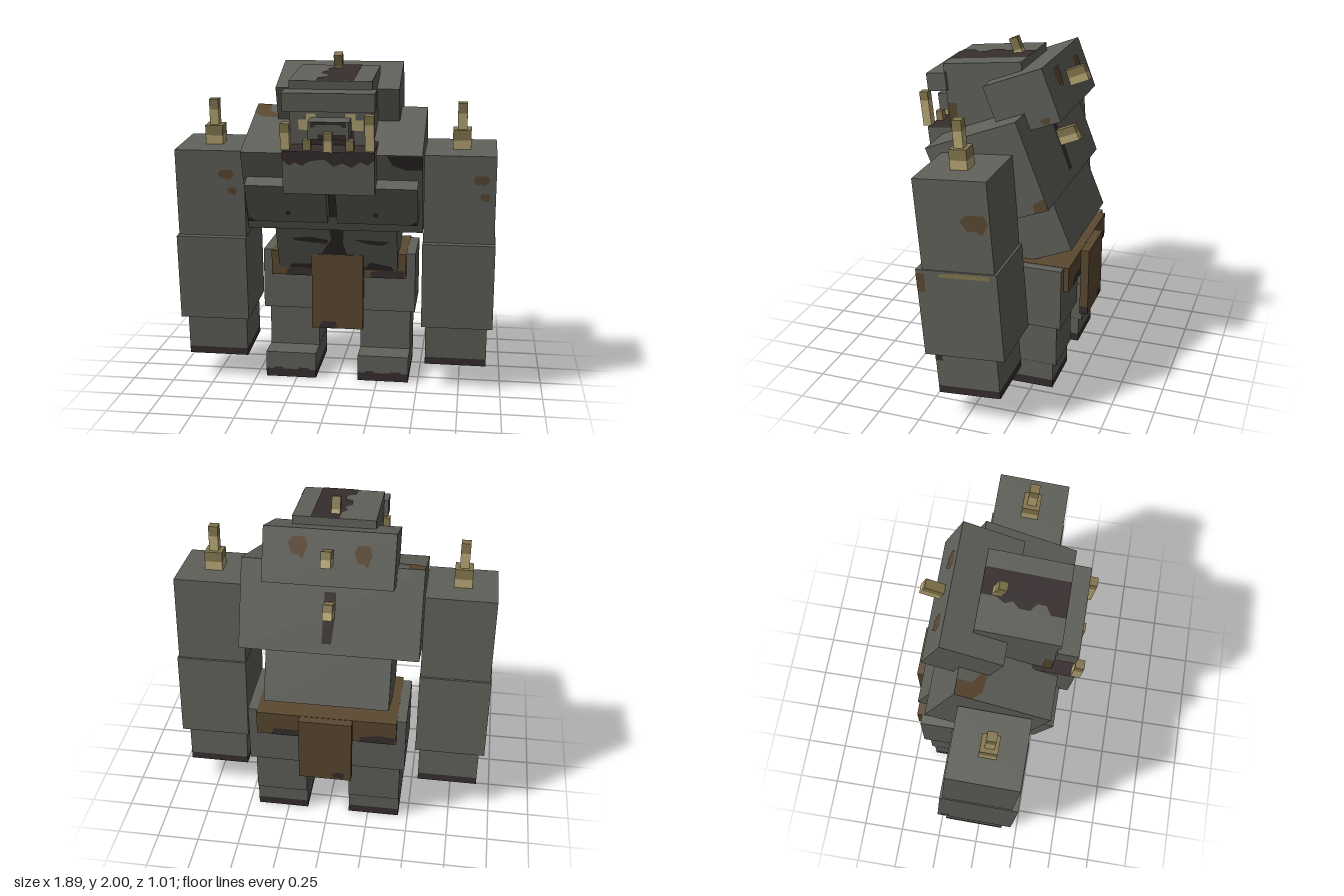
import * as THREE from 'three';

const mat = (name, color, side = THREE.FrontSide) => {
  const m = new THREE.MeshStandardMaterial({ color, side });
  m.name = name;
  return m;
};
const stone = mat('stone grey', 0x60615a);
const dark = mat('dark stain', 0x372e2e);
const brown = mat('brown leather', 0x5b4831);
const bone = mat('pale bone', 0xb8a876);
const oldBone = mat('aged bone', 0x85784f);
const rad = Math.PI / 180;

// Box in a tilted group; stains can be added to its faces in local coordinates
function block(parent, name, m, [w, h, d], [x, y, z], tilt = 0) {
  const g = new THREE.Group();
  g.name = name;
  g.position.set(x, y, z);
  g.rotation.x = tilt * rad;
  const mesh = new THREE.Mesh(new THREE.BoxGeometry(w, h, d), m);
  mesh.name = name + 'Block';
  g.add(mesh);
  g.userData.size = [w, h, d];
  parent.add(g);
  return g;
}

// Flat painted patch lying on one face of a block
function stain(g, face, points, m = dark) {
  const [w, h, d] = g.userData.size;
  const geo = new THREE.ShapeGeometry(new THREE.Shape(points.map(([u, v]) => new THREE.Vector2(u, v))));
  const e = 0.003;
  if (face === 'front') geo.translate(0, 0, d / 2 + e);
  if (face === 'back') geo.rotateY(Math.PI).translate(0, 0, -d / 2 - e);
  if (face === 'top') geo.rotateX(-Math.PI / 2).translate(0, h / 2 + e, 0);
  if (face === 'left') geo.rotateY(Math.PI / 2).translate(w / 2 + e, 0, 0);
  if (face === 'right') geo.rotateY(-Math.PI / 2).translate(-w / 2 - e, 0, 0);
  const mesh = new THREE.Mesh(geo, m);
  mesh.name = 'stain';
  g.add(mesh);
}
const rect = (u0, v0, u1, v1) => [[u0, v0], [u1, v0], [u1, v1], [u0, v1]];
const blob = (u, v, a, b) => [[u - a, v + b * 0.3], [u - a * 0.6, v + b], [u + a * 0.7, v + b], [u + a, v + b * 0.2],
  [u + a * 0.5, v - b], [u, v - b * 0.6], [u - a * 0.5, v - b * 0.7]];

// Block with two tones stacked along its own height
function twoTone(parent, name, lower, upper, [w, h, d], [x, y, z], tilt, split) {
  const g = new THREE.Group();
  g.name = name;
  g.position.set(x, y, z);
  g.rotation.x = tilt * rad;
  const a = h * split;
  block(g, name + 'Lower', lower, [w, a, d], [0, -h / 2 + a / 2, 0]);
  block(g, name + 'Upper', upper, [w, h - a, d], [0, h / 2 - (h - a) / 2, 0]);
  parent.add(g);
  return g;
}

function buildTorso(model) {
  const belly = block(model, 'belly', stone, [0.73, 0.5, 0.51], [0, 1.018, -0.118], 22.5);
  stain(belly, 'front', [[-0.1, -0.14], [-0.03, -0.17], [0.06, -0.14], [0.04, -0.05], [0.05, 0.09], [-0.05, 0.09], [-0.03, -0.02]]);
  stain(belly, 'front', [[-0.27, -0.02], [-0.15, -0.01], [-0.05, -0.03], [-0.06, -0.06], [-0.25, -0.04]]);
  stain(belly, 'front', [[0.1, -0.02], [0.32, -0.03], [0.28, -0.06], [0.18, -0.05]]);
  stain(belly, 'front', [[-0.3, -0.25], [0, -0.25], [0, -0.18], [-0.12, -0.18], [-0.15, -0.215], [-0.29, -0.22]]);
  stain(belly, 'front', [[0.15, -0.25], [0.34, -0.25], [0.33, -0.22], [0.2, -0.19]]);
  stain(belly, 'left', [[0.04, 0.06], [0.25, 0.04], [0.25, 0.055], [0.04, 0.08]], oldBone);

  const chest = block(model, 'chest', stone, [1.04, 0.525, 0.57], [0, 1.32, 0.005], 21.5);
  stain(chest, 'front', rect(-0.028, -0.17, 0.025, 0.03));
  stain(chest, 'front', [[0.32, 0.26], [0.35, 0.2], [0.42, 0.17], [0.52, 0.17], [0.52, 0.26]]);
  stain(chest, 'top', [[-0.52, 0.285], [-0.43, 0.285], [-0.43, 0.2], [-0.37, 0.16], [-0.37, 0.12], [-0.47, 0.13], [-0.52, 0.18]], brown);
  stain(chest, 'back', [[-0.035, 0.1], [0.03, 0.1], [0.03, -0.05], [0.015, -0.2], [-0.04, -0.2]]);
  stain(chest, 'left', [[0.285, -0.26], [0.285, -0.19], [0.21, -0.21], [0.2, -0.26]], brown);

  for (const s of [-1, 1]) {
    const pec = block(model, s > 0 ? 'leftPectoral' : 'rightPectoral', stone,
      [0.47, 0.255, 0.13], [s * 0.262, 1.182, 0.273], 24.5);
    stain(pec, 'front', rect(-s * 0.007 - 0.012, -0.075, -s * 0.007 + 0.012, -0.045));
    stain(pec, 'front', [[s * 0.23, -0.127], [s * 0.19, -0.127], [s * 0.21, -0.105], [s * 0.23, -0.1]]);
  }

  const hump = block(model, 'neckHump', stone, [0.73, 0.31, 0.364], [0, 1.721, -0.147], 21.5);
  stain(hump, 'back', blob(0.19, 0.02, 0.05, 0.06), brown);
  stain(hump, 'back', blob(-0.17, 0.05, 0.055, 0.06), brown);
  stain(hump, 'top', blob(-0.15, -0.1, 0.03, 0.02), brown);
  stain(hump, 'top', blob(0.19, -0.11, 0.03, 0.02), brown);
  stain(hump, 'left', blob(0.1, -0.13, 0.03, 0.02), brown);

  // Spine horns
  twoTone(model, 'upperSpineHorn', bone, oldBone, [0.055, 0.09, 0.15], [0, 1.805, -0.35], 23, 0.5);
  twoTone(model, 'lowerSpineHorn', bone, oldBone, [0.055, 0.09, 0.15], [0, 1.442, -0.302], 23, 0.5);
}

function buildHead(model) {
  const head = block(model, 'head', stone, [0.47, 0.5, 0.468], [0, 1.646, 0.106], 6);
  stain(head, 'top', [[-0.08, -0.234], [0.13, -0.234], [0.13, 0.234], [-0.03, 0.234], [-0.03, 0.15], [-0.06, 0.1],
    [-0.04, 0.06], [-0.075, 0.02], [-0.075, -0.04], [-0.03, -0.07], [-0.03, -0.12], [-0.08, -0.15]]);
  stain(head, 'front', rect(-0.13, -0.14, 0.13, -0.03));
  for (const s of [-1, 1]) {
    stain(head, 'front', rect(s * 0.12, -0.03, s * 0.185, 0.03), bone);
    stain(head, 'front', rect(s * 0.085, 0.02, s * 0.14, 0.065), bone);
    stain(head, s > 0 ? 'left' : 'right', rect(-s * 0.23, -0.15, -s * 0.18, 0.02), brown);
  }
  block(model, 'brow', stone, [0.52, 0.105, 0.115], [0, 1.766, 0.398], 6);
  const muzzle = block(model, 'muzzle', stone, [0.23, 0.1, 0.13], [0, 1.61, 0.383], 6);
  stain(muzzle, 'front', [[-0.1, 0.05], [-0.1, 0.02], [-0.08, 0.02], [-0.07, 0.035], [0.07, 0.035], [0.08, 0.02], [0.1, 0.02], [0.1, 0.05]]);
  stain(muzzle, 'front', rect(-0.06, -0.05, 0.1, -0.02));

  const jaw = block(model, 'jaw', stone, [0.52, 0.25, 0.3], [0, 1.381, 0.298], 6);
  stain(jaw, 'front', [[-0.26, 0.125], [-0.26, 0.075], [-0.22, 0.04], [-0.19, 0.06], [-0.15, 0.04], [-0.1, 0.07],
    [-0.02, 0.08], [0.03, 0.04], [0.08, 0.06], [0.13, 0.035], [0.18, 0.07], [0.22, 0.05], [0.26, 0.08], [0.26, 0.125]]);
  stain(jaw, 'top', rect(-0.26, -0.15, 0.26, 0.15));

  // Tusks and teeth
  twoTone(model, 'rightTusk', bone, oldBone, [0.052, 0.15, 0.05], [-0.237, 1.575, 0.468], 6, 0.65);
  twoTone(model, 'leftTusk', bone, oldBone, [0.052, 0.2, 0.05], [0.235, 1.6, 0.471], 6, 0.75);
  twoTone(model, 'middleTooth', bone, oldBone, [0.05, 0.11, 0.04], [0, 1.545, 0.452], 6, 0.55);
  for (const x of [-0.12, 0.12]) block(model, 'sideTooth', oldBone, [0.045, 0.06, 0.04], [x, 1.525, 0.435], 6);
  twoTone(model, 'crownHorn', bone, oldBone, [0.05, 0.12, 0.05], [0, 1.94, -0.003], 22, 0.4);
}

function buildArm(model, s) {
  const arm = new THREE.Group();
  arm.name = s > 0 ? 'leftArm' : 'rightArm';
  model.add(arm);
  const upper = block(arm, 'upperArm', stone, [0.41, 0.53, 0.416], [s * 0.73, 1.2, 0.037], 4.5);
  const lower = block(arm, 'forearm', stone, [0.42, 0.52, 0.467], [s * 0.732, 0.684, 0.008], 4.5);
  const hand = twoTone(arm, 'hand', dark, stone, [0.365, 0.3, 0.366], [s * 0.728, 0.315, -0.016], 4.5, 0.15);
  hand.userData.size = [0.365, 0.3, 0.366];
  stain(upper, 'front', blob(s > 0 ? 0.12 : 0.095, 0.12, 0.05, 0.03), brown);
  stain(upper, 'front', blob(s > 0 ? 0.145 : 0.13, 0.02, 0.03, 0.025), brown);
  if (s > 0) {
    stain(upper, 'left', blob(0.12, 0.02, 0.08, 0.055), brown);
    stain(lower, 'left', [[-0.1, 0.225], [0.19, 0.225], [0.19, 0.25], [0, 0.25], [-0.1, 0.24]], oldBone);
    stain(lower, 'left', rect(-0.233, 0.13, -0.185, 0.24), brown);
    stain(hand, 'left', rect(-0.183, 0.06, -0.14, 0.1));
  } else {
    stain(lower, 'right', blob(-0.19, -0.2, 0.03, 0.03), brown);
  }
  // Shoulder horn: wide base and slim tip
  twoTone(arm, 'shoulderHornBase', bone, oldBone, [0.105, 0.12, 0.1], [s * 0.733, 1.517, 0.062], 4.5, 0.5);
  twoTone(arm, 'shoulderHornTip', bone, oldBone, [0.055, 0.16, 0.055], [s * 0.733, 1.65, 0.073], 4.5, 0.62);
}

function buildLeg(model, s) {
  const leg = new THREE.Group();
  leg.name = s > 0 ? 'leftLeg' : 'rightLeg';
  model.add(leg);
  block(leg, 'thigh', stone, [0.36, 0.37, 0.41], [s * 0.29, 0.605, -0.215]);
  block(leg, 'shin', stone, [0.31, 0.27, 0.33], [s * 0.286, 0.29, -0.225]);
  const foot = twoTone(leg, 'foot', dark, stone, [0.312, 0.16, 0.47], [s * 0.286, 0.08, -0.135], 0, 0.32);
  foot.userData.size = [0.312, 0.16, 0.47];
  for (const u of [-0.11, 0.05]) stain(foot, 'front', rect(u, -0.03, u + 0.06, -0.017));
}

function buildBelt(model) {
  const belt = block(model, 'belt', brown, [0.83, 0.152, 0.47], [0, 0.716, -0.215]);
  for (const face of ['front', 'back']) {
    stain(belt, face, [[-0.33, -0.076], [-0.17, -0.076], [-0.17, -0.03], [-0.31, -0.03]]);
    stain(belt, face, [[0.2, -0.076], [0.4, -0.076], [0.41, -0.03], [0.32, -0.02], [0.2, -0.04]]);
  }
  const front = block(model, 'frontFlap', brown, [0.315, 0.47, 0.05], [0, 0.555, 0.045]);
  stain(front, 'front', [[-0.12, -0.235], [0, -0.235], [-0.01, -0.19], [-0.09, -0.19]]);
  const back = block(model, 'backFlap', brown, [0.315, 0.42, 0.05], [0, 0.58, -0.475]);
  stain(back, 'back', blob(0.08, -0.18, 0.04, 0.025));
  stain(back, 'left', rect(-0.025, -0.21, 0.025, -0.16));
}

export function createModel() {
  const model = new THREE.Group();
  model.name = 'stoneBrute';
  buildTorso(model);
  buildHead(model);
  buildBelt(model);
  for (const s of [-1, 1]) {
    buildArm(model, s);
    buildLeg(model, s);
  }
  return model;
}
